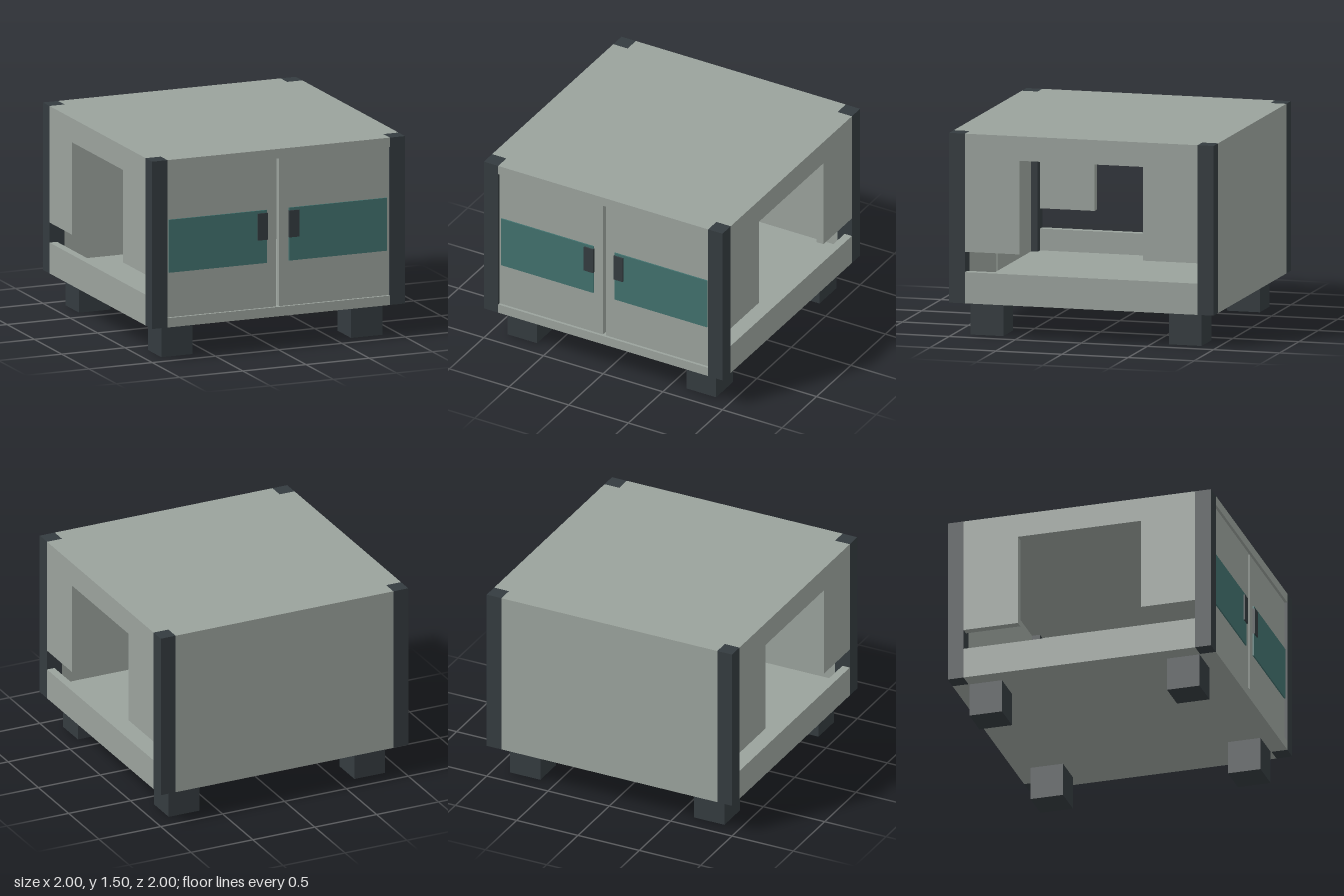
import * as THREE from 'three';

const mat = (color) => new THREE.MeshStandardMaterial({ color });

export function createModel() {
  const group = new THREE.Group();
  const body = mat(0x9aa29c), dark = mat(0x343b3f), teal = mat(0x41706d);

  const add = (name, geometry, material) => {
    const mesh = new THREE.Mesh(geometry, material);
    mesh.name = name;
    group.add(mesh);
    return mesh;
  };
  // Box given by its low and high limits on each axis
  const box = (name, material, [x0, x1], [y0, y1], [z0, z1]) => {
    const mesh = add(name, new THREE.BoxGeometry(x1 - x0, y1 - y0, z1 - z0), material);
    mesh.position.set((x0 + x1) / 2, (y0 + y1) / 2, (z0 + z1) / 2);
    return mesh;
  };
  // Limits mirrored to either side of zero
  const side = (s, a, b) => (s > 0 ? [a, b] : [-b, -a]);
  const outline = (points) => new THREE.Shape(points.map(([x, y]) => new THREE.Vector2(x, y)));

  const inner = 0.88, wall = 0.06, base = 0.25, floorTop = 0.32, ceiling = 1.43, top = 1.5;

  // Floor and top slabs, notched at the corners for the posts
  const slabShape = outline([
    [-inner, -1], [inner, -1], [inner, -inner], [1, -inner], [1, inner], [inner, inner],
    [inner, 1], [-inner, 1], [-inner, inner], [-1, inner], [-1, -inner], [-inner, -inner],
  ]);
  for (const [name, y] of [['floorSlab', base], ['topSlab', ceiling]]) {
    const geometry = new THREE.ExtrudeGeometry(slabShape, { depth: floorTop - base, bevelEnabled: false });
    geometry.rotateX(-Math.PI / 2);
    add(name, geometry, body).position.y = y;
  }

  // Corner posts and feet
  for (const sx of [-1, 1]) {
    for (const sz of [-1, 1]) {
      box('cornerPost', dark, side(sx, inner, 1), [base, top], side(sz, inner, 1));
      box('foot', dark, side(sx, 0.627, 0.874), [0, base], side(sz, 0.627, 0.874));
    }
  }

  // Solid back wall
  box('backWall', body, [-inner, inner], [floorTop, ceiling], [-1, -1 + wall]);

  // Open sides: an arch of two jambs and a lintel, above a low rail
  const archShape = outline([
    [-inner, 0.63], [-0.467, 0.63], [-0.467, 1.32], [0.467, 1.32],
    [0.467, 0.63], [inner, 0.63], [inner, ceiling], [-inner, ceiling],
  ]);
  for (const s of [-1, 1]) {
    const geometry = new THREE.ExtrudeGeometry(archShape, { depth: wall, bevelEnabled: false });
    geometry.rotateY(Math.PI / 2);
    add('sideArch', geometry, body).position.x = s > 0 ? 1 - wall : -1;
    box('sideRail', body, side(s, 1 - wall, 1), [floorTop, 0.48], [-inner, inner]);
  }

  // Front doors with coloured panels and handles
  for (const s of [-1, 1]) {
    box('door', body, side(s, 0.013, inner), [floorTop, ceiling], [0.93, 0.98]);
    box('doorPanel', teal, side(s, 0.088, 0.863), [0.655, 1.05], [0.97, 0.99]);
    box('handle', dark, side(s, 0.086, 0.163), [0.83, 1.03], [0.97, 1]);
  }

  return group;
}
